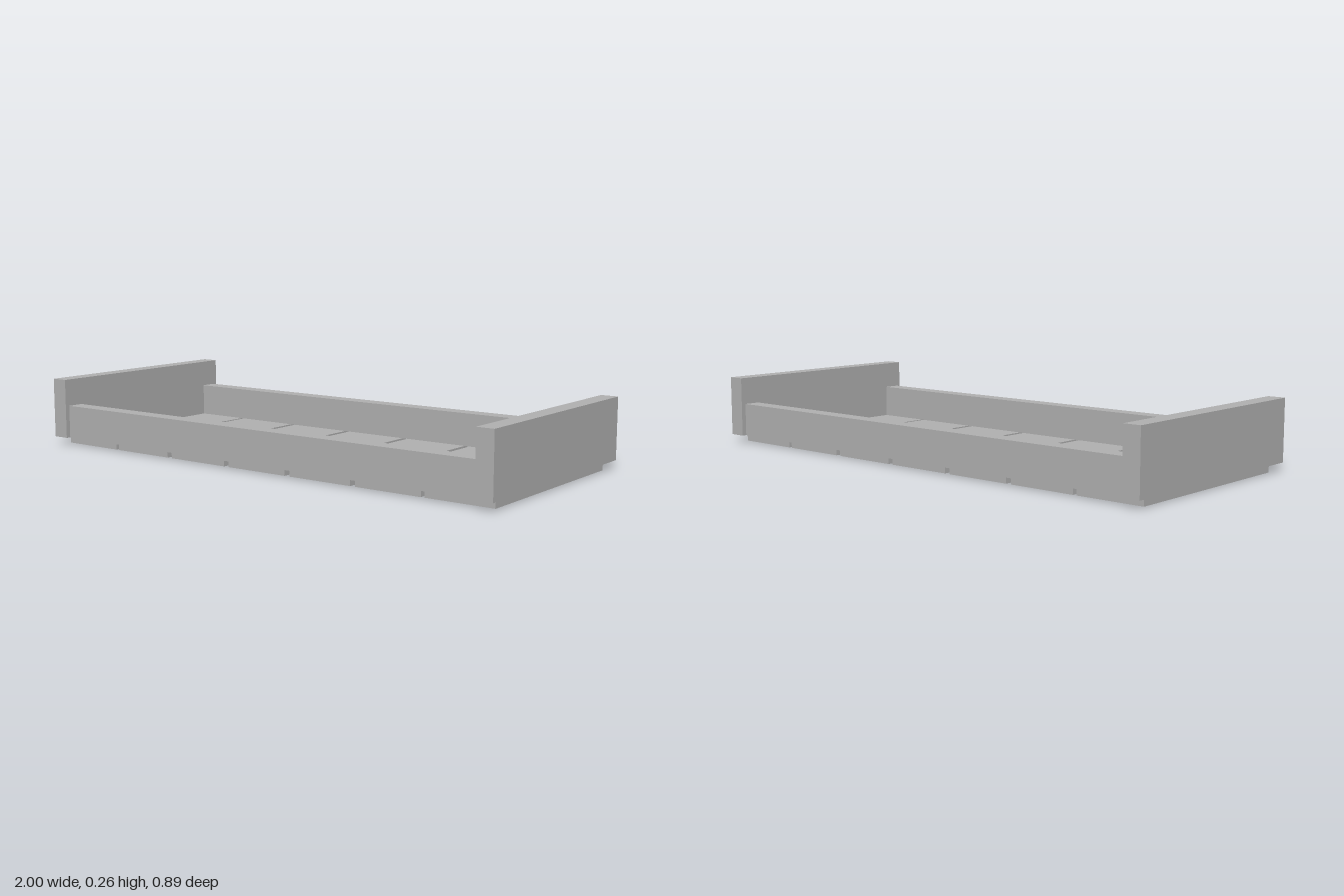
import * as THREE from 'three';

export function createModel() {
  const group = new THREE.Group();
  const grey = new THREE.MeshStandardMaterial({ color: 0xb0b0b0 });
  grey.name = 'plain grey';

  // Box from its size, its centre and the height of its underside
  const board = (name, w, h, d, x, bottom, z) => {
    const mesh = new THREE.Mesh(new THREE.BoxGeometry(w, h, d), grey);
    mesh.name = name;
    mesh.position.set(x, bottom + h / 2, z);
    group.add(mesh);
  };

  const slatHeight = 0.031;

  // Tall end boards and the lower side rails between them
  for (const s of [-1, 1]) {
    const side = s > 0 ? 'left' : 'right';
    board(side + 'EndBoard', 0.066, 0.232, 0.886, s * 0.967, slatHeight, 0);
    board(s > 0 ? 'frontRail' : 'backRail', 1.868, 0.127, 0.064, 0, slatHeight, s * 0.393);
  }

  // Seven bottom slats; the outer pair sits slightly closer to its neighbours
  for (let i = -3; i <= 3; i++) {
    const x = Math.abs(i) === 3 ? Math.sign(i) * 0.845 : i * 0.284;
    board('slat' + (i + 4), 0.263, slatHeight, 0.77, x, 0, 0);
  }

  return group;
}
